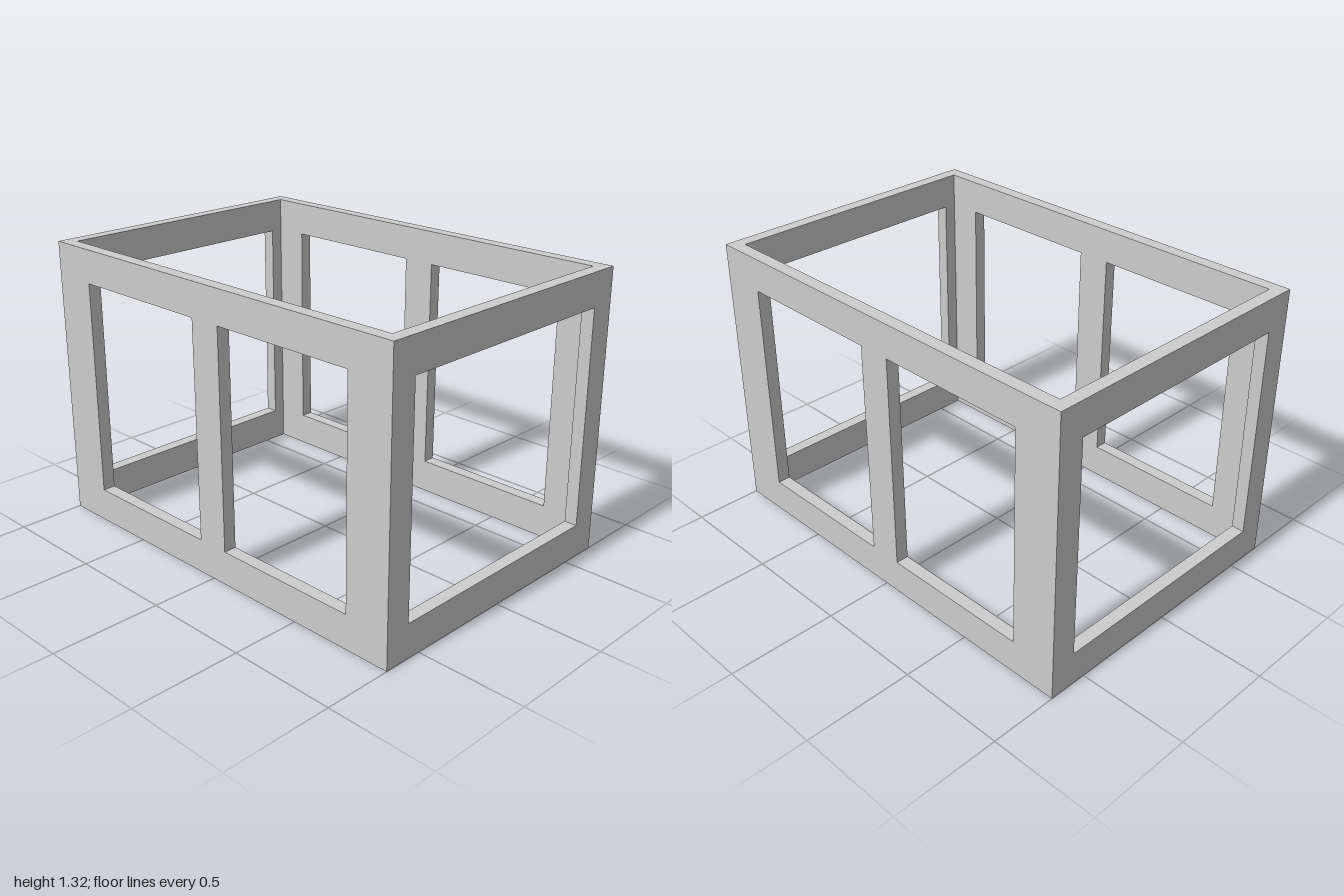
import * as THREE from 'three';

const HALF_X = 0.685, HALF_Z = 1, HEIGHT = 1.315, WALL = 0.06;
const OPEN_BOTTOM = 0.157, OPEN_TOP = 1.16;

// Upright panel with rectangular openings; its outer face is at local z = 0
// and its ends are mitred so that four panels meet cleanly at the corners.
function panelGeometry(half, openings) {
  const rect = (path, x0, x1, y0, y1) =>
    path.moveTo(x0, y0).lineTo(x1, y0).lineTo(x1, y1).lineTo(x0, y1).closePath();

  const shape = new THREE.Shape();
  rect(shape, -half, half, 0, HEIGHT);
  for (const [x0, x1] of openings) {
    const hole = new THREE.Path();
    rect(hole, x0, x1, OPEN_BOTTOM, OPEN_TOP);
    shape.holes.push(hole);
  }
  const geometry = new THREE.ExtrudeGeometry(shape, { depth: WALL, bevelEnabled: false });
  geometry.translate(0, 0, -WALL);

  // Pull the inner end edges in by the wall thickness
  const p = geometry.attributes.position;
  for (let i = 0; i < p.count; i++) {
    const x = p.getX(i);
    if (p.getZ(i) < -WALL / 2 && Math.abs(x) > half - 0.001) {
      p.setX(i, Math.sign(x) * (half - WALL));
    }
  }
  geometry.computeVertexNormals();
  return geometry;
}

export function createModel() {
  const model = new THREE.Group();
  model.name = 'boxFrame';

  const grey = new THREE.MeshStandardMaterial({ color: 0xcccccc });
  grey.name = 'lightGrey';

  // End panels have one wide opening, side panels two with a centre post
  const endPanel = panelGeometry(HALF_X, [[-0.565, 0.565]]);
  const sidePanel = panelGeometry(HALF_Z, [[-0.785, -0.078], [0.078, 0.785]]);

  const walls = [
    ['frontFrame', endPanel, 0, HALF_Z],
    ['leftFrame', sidePanel, 1, HALF_X],
    ['backFrame', endPanel, 2, HALF_Z],
    ['rightFrame', sidePanel, 3, HALF_X],
  ];
  for (const [name, geometry, turn, distance] of walls) {
    const mesh = new THREE.Mesh(geometry, grey);
    const angle = turn * Math.PI / 2;
    mesh.name = name;
    mesh.rotation.y = angle;
    mesh.position.set(Math.sin(angle) * distance, 0, Math.cos(angle) * distance);
    model.add(mesh);
  }
  return model;
}
